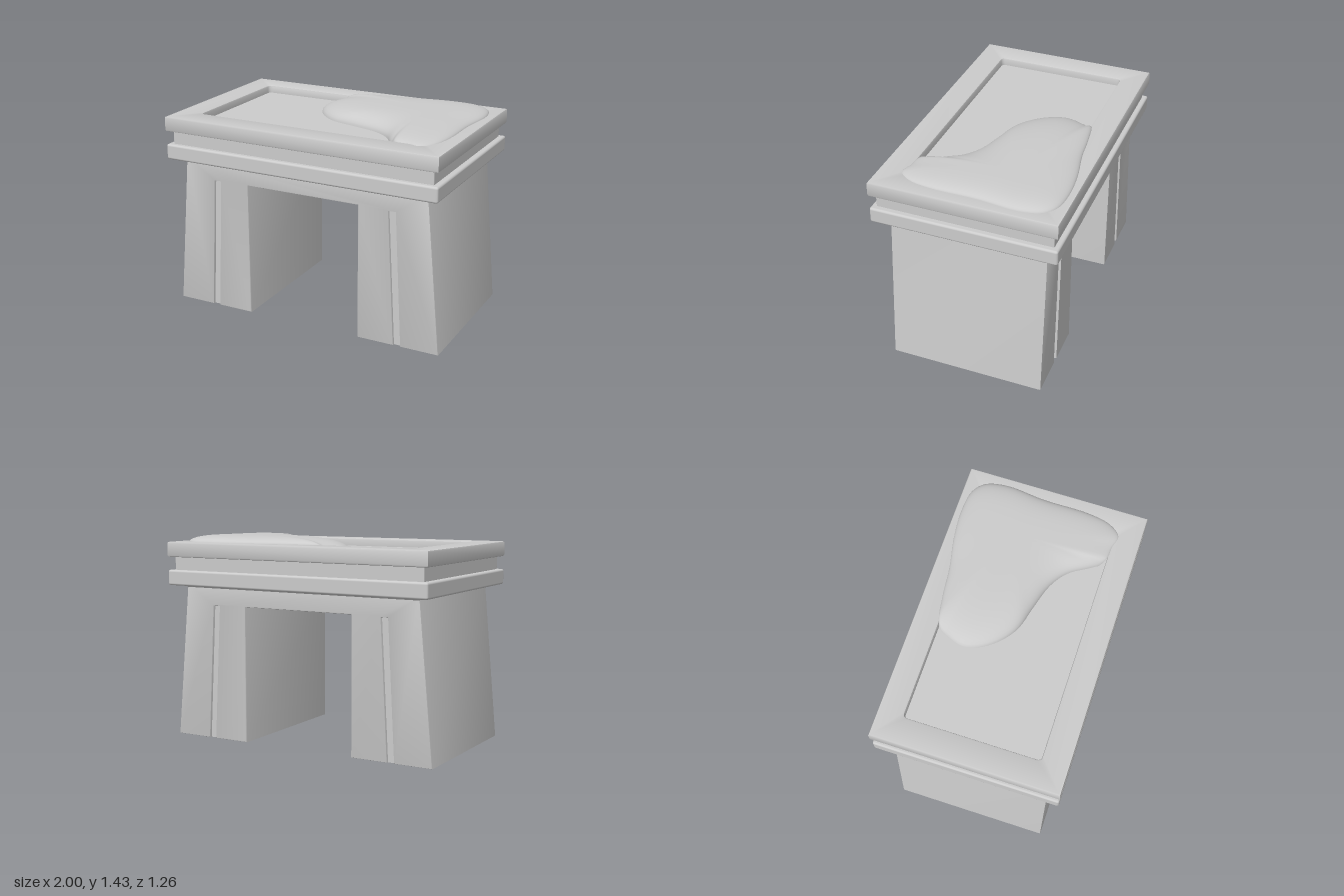
import * as THREE from 'three';
import { toCreasedNormals } from 'three/addons/utils/BufferGeometryUtils.js';
import { RoundedBoxGeometry } from 'three/addons/geometries/RoundedBoxGeometry.js';

const material = new THREE.MeshStandardMaterial({ color: 0xcccccc });

function add(group, name, geometry, x = 0, y = 0, z = 0) {
  const mesh = new THREE.Mesh(geometry, material);
  mesh.name = name;
  mesh.position.set(x, y, z);
  group.add(mesh);
  return mesh;
}

const polygon = (points) => new THREE.Shape(points.map(([x, y]) => new THREE.Vector2(x, y)));

// Extrusion centred on z whose bevel stays inside the outline
function extrude(shape, depth, bevel) {
  const geometry = new THREE.ExtrudeGeometry(shape, {
    depth: depth - 2 * bevel, bevelEnabled: bevel > 0, bevelThickness: bevel,
    bevelSize: bevel, bevelOffset: -bevel, bevelSegments: 2, curveSegments: 6,
  });
  geometry.translate(0, 0, bevel - depth / 2);
  return toCreasedNormals(geometry, 0.6);
}

// Half outline of the gate-like base, with a slanted slot in the leg
const slot = [[0.68, 0], [0.63, 0.94], [0.68, 0.94], [0.73, 0]];
const halfBase = [[0.415, 0.945], [0.415, 0], ...slot, [1, 0], [0.9, 1.09]];

function makeBase(group) {
  const mirrored = halfBase.map(([x, y]) => [-x, y]).reverse();
  add(group, 'base', extrude(polygon([...halfBase, ...mirrored]), 1.07, 0.008));

  // Recessed filling that turns each slot into a shallow groove
  for (const side of [1, -1]) {
    const points = slot.map(([x, y]) => [side * x, y]);
    add(group, side > 0 ? 'leftGrooveFloor' : 'rightGrooveFloor', extrude(polygon(points), 1.03, 0));
  }

  // Small flare where the base meets the slab
  const flare = new THREE.BoxGeometry(1.8, 0.02, 1.07);
  const p = flare.attributes.position;
  for (let i = 0; i < p.count; i++) {
    if (p.getY(i) > 0) p.setXYZ(i, p.getX(i) * 1.016, p.getY(i), p.getZ(i) * 1.03);
  }
  flare.computeVertexNormals();
  add(group, 'baseFlare', flare, 0, 1.072, 0);
}

function makeTop(group) {
  add(group, 'lowerSlab', new RoundedBoxGeometry(2, 0.107, 1.26, 3, 0.015), 0, 1.131, 0);
  // The neck continues upward to form the tray floor
  add(group, 'neck', new RoundedBoxGeometry(1.92, 0.145, 1.19, 2, 0.005), 0, 1.2525, 0);

  // Upper slab as a frame around the sunken tray
  const frame = polygon([[-1, -0.63], [1, -0.63], [1, 0.63], [-1, 0.63]]);
  const hole = new THREE.Path();
  const x = 0.82, z0 = -0.45, z1 = 0.46, r = 0.025;
  hole.absarc(x - r, z1 - r, r, 0, Math.PI / 2);
  hole.absarc(-x + r, z1 - r, r, Math.PI / 2, Math.PI);
  hole.absarc(-x + r, z0 + r, r, Math.PI, Math.PI * 1.5);
  hole.absarc(x - r, z0 + r, r, Math.PI * 1.5, Math.PI * 2);
  hole.closePath();
  frame.holes.push(hole);
  const rim = extrude(frame, 0.105, 0.012);
  rim.rotateX(-Math.PI / 2);
  add(group, 'upperSlabFrame', rim, 0, 1.3275, 0);
}

// Soft mound: the outline shrinks in rings toward the crown
function makeMound(group) {
  const outline = [
    [-0.16, -0.455], [0.03, -0.5], [0.24, -0.525], [0.46, -0.57], [0.67, -0.588], [0.83, -0.567],
    [0.91, -0.5], [0.945, -0.35], [0.92, -0.08], [0.915, 0.24], [0.88, 0.4], [0.81, 0.48],
    [0.72, 0.46], [0.62, 0.445], [0.555, 0.36], [0.47, 0.23], [0.35, 0.145], [0.16, 0.085],
    [-0.01, 0.037], [-0.13, -0.05], [-0.21, -0.16], [-0.24, -0.27], [-0.21, -0.375],
  ];
  const curve = new THREE.CatmullRomCurve3(outline.map(([x, z]) => new THREE.Vector3(x, 0, z)), true);
  const around = 96, rings = 16, cx = 0.6, cz = -0.2;
  const positions = [cx, 1.425, cz], index = [];
  for (let k = 1; k <= rings; k++) {
    const t = Math.sin((k / rings) * Math.PI / 2);
    for (let i = 0; i < around; i++) {
      const p = curve.getPoint(i / around);
      // The edge lies on the frame outside the tray and on the tray floor inside it
      const beyond = Math.max(p.x - 0.8, -0.455 - p.z, p.z - 0.43);
      const edge = 1.32 + 0.055 * THREE.MathUtils.smoothstep(beyond, -0.03, 0.02);
      const x = cx + (p.x - cx) * t, z = cz + (p.z - cz) * t;
      const crown = 1.425 - 0.012 * (z - cz);
      positions.push(x, edge + (crown - edge) * Math.sqrt(1 - t ** 4), z);
    }
  }
  const at = (k, i) => 1 + (k - 1) * around + (i % around);
  for (let i = 0; i < around; i++) {
    index.push(0, at(1, i + 1), at(1, i));
    for (let k = 1; k < rings; k++) {
      index.push(at(k, i), at(k, i + 1), at(k + 1, i), at(k, i + 1), at(k + 1, i + 1), at(k + 1, i));
    }
  }
  const geometry = new THREE.BufferGeometry();
  geometry.setAttribute('position', new THREE.Float32BufferAttribute(positions, 3));
  geometry.setIndex(index);
  geometry.computeVertexNormals();
  add(group, 'mound', geometry).material = new THREE.MeshStandardMaterial({ color: 0xcccccc, side: THREE.DoubleSide });
}

export function createModel() {
  const group = new THREE.Group();
  group.name = 'stoneTable';
  makeBase(group);
  makeTop(group);
  makeMound(group);
  return group;
}
